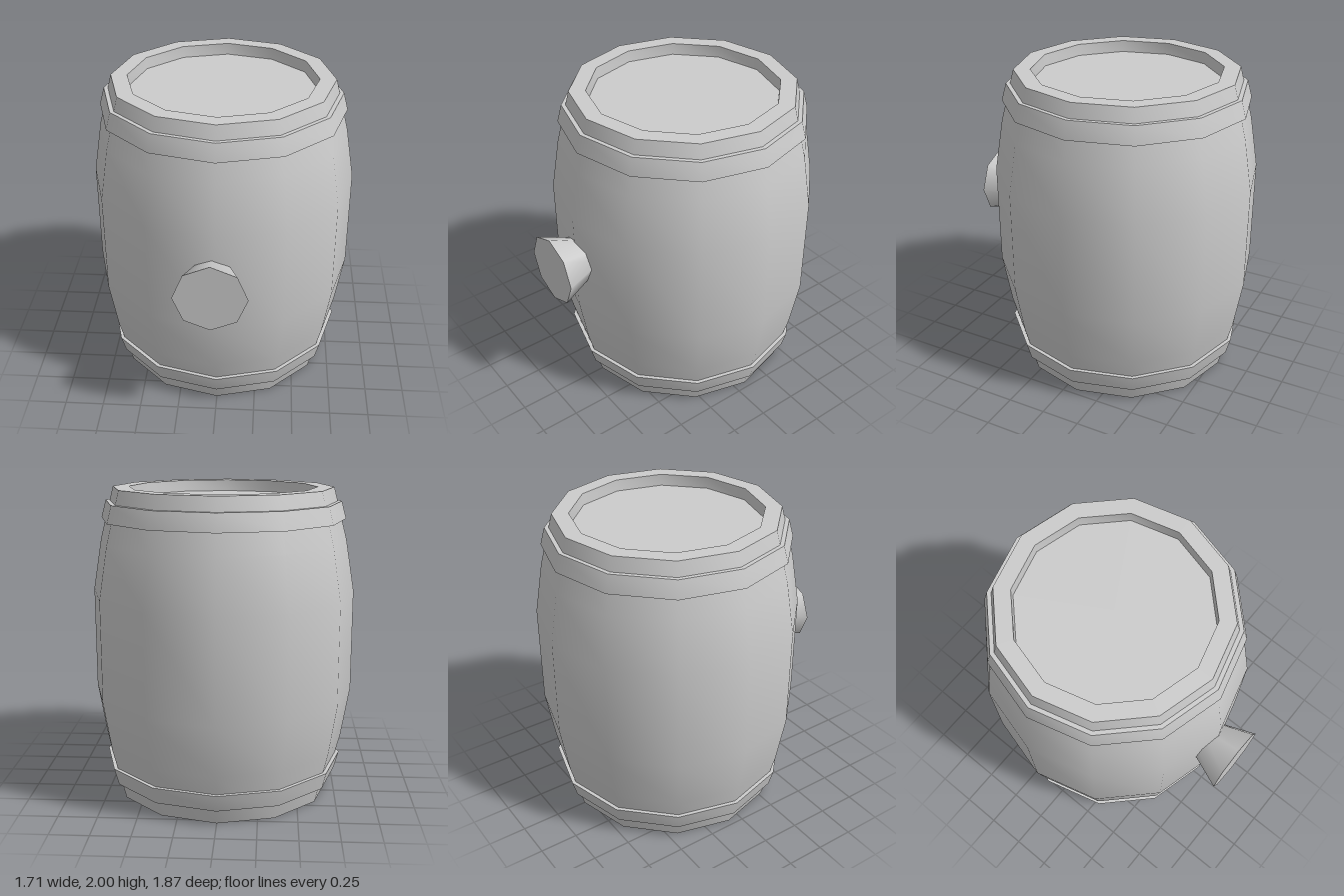
import * as THREE from 'three';
import { toCreasedNormals } from 'three/addons/utils/BufferGeometryUtils.js';

const SIDES = 12;
const CENTRE_Z = -0.082;

export function createModel() {
  const model = new THREE.Group();
  model.name = 'barrel';
  const material = new THREE.MeshStandardMaterial({ color: 0xcccccc });

  // Twelve-sided turned part: smooth around, sharp at rims
  const turned = (name, profile) => {
    const points = profile.map(([r, y]) => new THREE.Vector2(r, y));
    const geometry = toCreasedNormals(new THREE.LatheGeometry(points, SIDES), 0.6);
    const mesh = new THREE.Mesh(geometry, material);
    mesh.name = name;
    mesh.position.z = CENTRE_Z;
    model.add(mesh);
  };

  // Bulging body with a recessed lid at each end
  const lowerHalf = [[0, 0.075], [0.6, 0.075], [0.605, 0], [0.71, 0], [0.797, 0.335], [0.853, 0.67]];
  const upperHalf = lowerHalf.map(([r, y]) => [r, 2 - y]).reverse();
  turned('body', [...lowerHalf, ...upperHalf]);

  // Hoops, wider towards the middle of the barrel
  const hoop = [[0.69, 0.102], [0.76, 0.102], [0.79, 0.213], [0.69, 0.213]];
  turned('lowerHoop', hoop);
  turned('upperHoop', hoop.map(([r, y]) => [r, 2.013 - y]).reverse());

  // Flared bung on the front
  const front = 0.935, back = 0.65;
  const bung = new THREE.Mesh(new THREE.CylinderGeometry(0.227, 0.113, front - back, 8), material);
  bung.name = 'bung';
  bung.rotation.x = Math.PI / 2;
  bung.position.set(-0.018, 1.023, (front + back) / 2);
  model.add(bung);

  return model;
}
